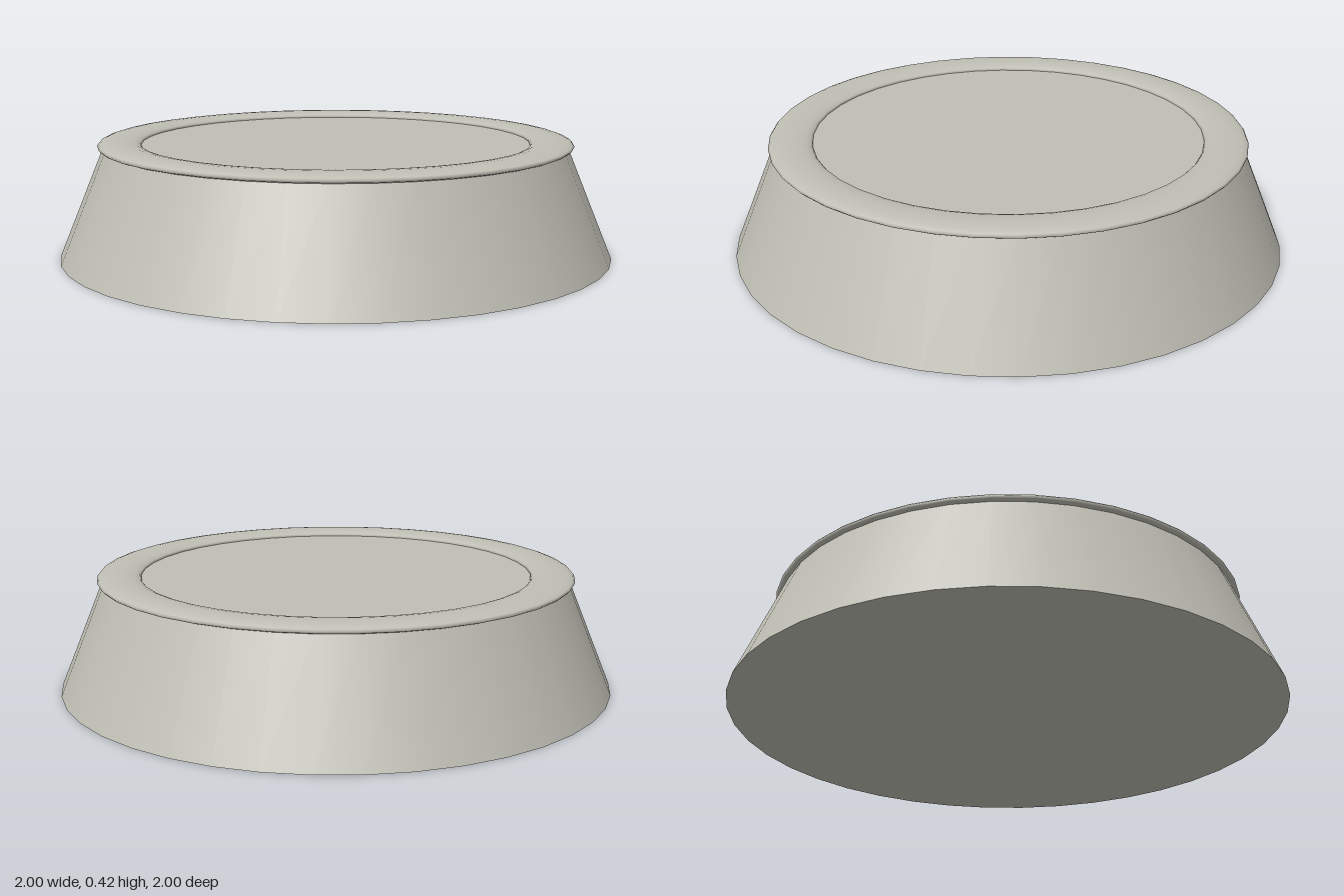
import * as THREE from 'three';

const SIDES = 40;

export function createModel() {
  const model = new THREE.Group();
  model.name = 'roundPedestal';

  const stone = new THREE.MeshStandardMaterial({ color: 0xc0bfb5 });
  stone.name = 'warm grey';

  // Tapered solid body with a flat top and bottom
  const topY = 0.4;
  const body = new THREE.Mesh(new THREE.CylinderGeometry(0.835, 1, topY, SIDES), stone);
  body.name = 'taperedBody';
  body.position.y = topY / 2;
  model.add(body);

  // Flattened rounded rim that overhangs the body and frames the top
  const rimGeometry = new THREE.TorusGeometry(0.78, 0.078, 16, SIDES);
  rimGeometry.scale(1, 1, 0.23);
  rimGeometry.rotateX(-Math.PI / 2);
  const rim = new THREE.Mesh(rimGeometry, stone);
  rim.name = 'rim';
  rim.position.y = 0.402;
  model.add(rim);

  return model;
}
